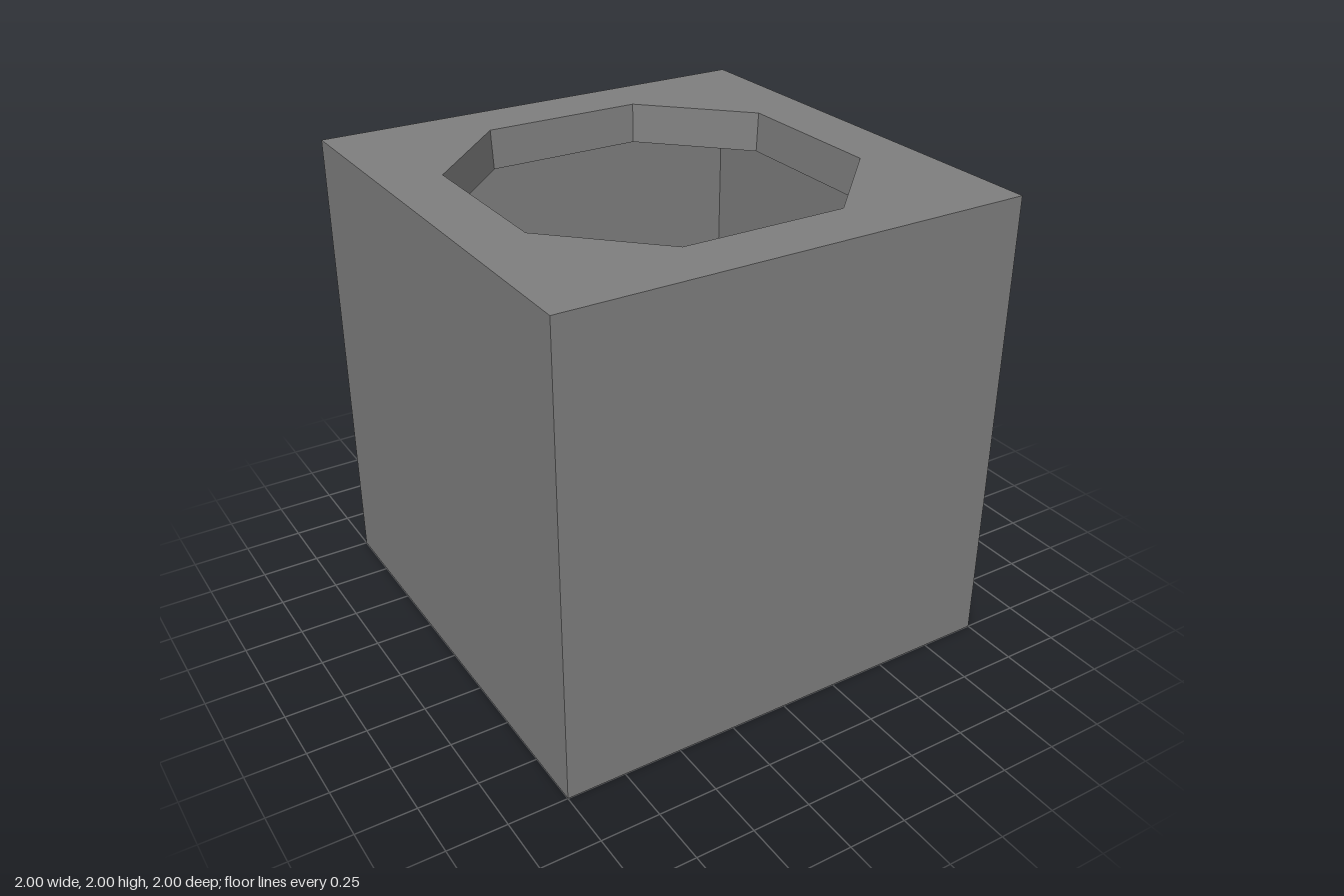
import * as THREE from 'three';

// Corners of an octagon with flats at +-a and corners at +-b
const octagon = (a, b) => [[a, b], [b, a], [-b, a], [-a, b], [-a, -b], [-b, -a], [b, -a], [a, -b]];
const square = [[1, 1], [-1, 1], [-1, -1], [1, -1]];

// Open band of quads joining two horizontal outlines
function band(top, yTop, bottom, yBottom) {
  const pos = [];
  top.forEach((t, i) => {
    const j = (i + 1) % top.length;
    const a = [t[0], yTop, t[1]];
    const b = [top[j][0], yTop, top[j][1]];
    const c = [bottom[j][0], yBottom, bottom[j][1]];
    const d = [bottom[i][0], yBottom, bottom[i][1]];
    pos.push(...a, ...b, ...d, ...b, ...c, ...d);
  });
  const geometry = new THREE.BufferGeometry();
  geometry.setAttribute('position', new THREE.Float32BufferAttribute(pos, 3));
  geometry.computeVertexNormals();
  return geometry;
}

export function createModel() {
  const model = new THREE.Group();
  model.name = 'hollowBlock';
  const grey = new THREE.MeshStandardMaterial({ color: 0x808080, side: THREE.DoubleSide, flatShading: true });
  grey.name = 'grey';

  const add = (name, geometry) => {
    const mesh = new THREE.Mesh(geometry, grey);
    mesh.name = name;
    model.add(mesh);
  };

  const rim = octagon(0.75, 0.35);
  const toPoints = (outline) => outline.map(([x, y]) => new THREE.Vector2(x, y));

  // Four thin walls, open at the bottom; outline reversed so they face outwards
  const outline = [...square].reverse();
  add('walls', band(outline, 2, outline, 0));

  // Top plate with the octagonal opening
  const plate = new THREE.Shape(toPoints(square));
  plate.holes.push(new THREE.Path(toPoints(rim)));
  add('topPlate', new THREE.ShapeGeometry(plate).rotateX(-Math.PI / 2).translate(0, 2, 0));

  // Slightly tapered collar hanging inside the opening, facing inwards
  add('collar', band(rim, 2, octagon(0.74, 0.345), 1.83));

  return model;
}
